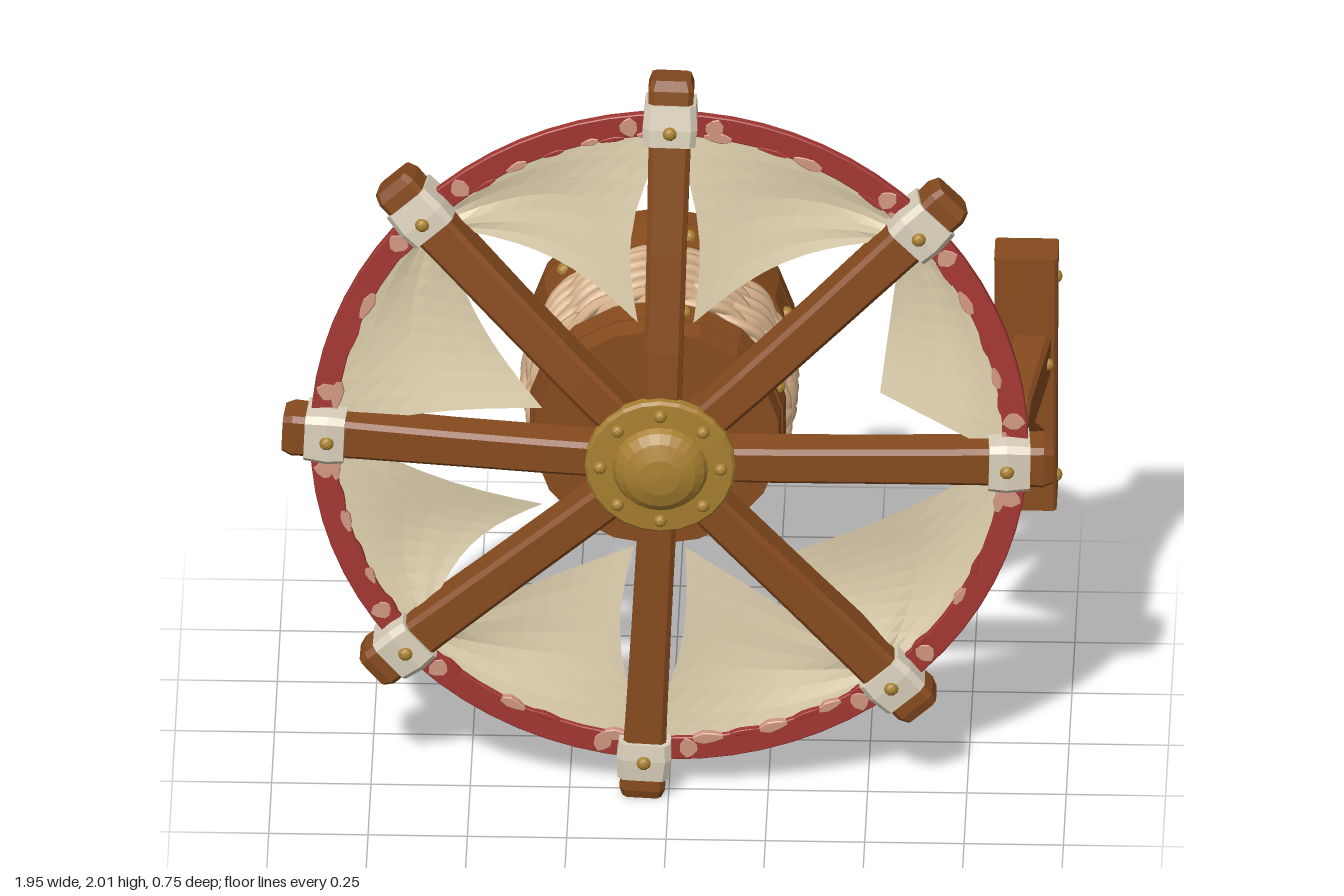
import * as THREE from 'three';

const mat = (name, color, extra = {}) => {
  const m = new THREE.MeshStandardMaterial({ color, flatShading: true, ...extra });
  m.name = name;
  return m;
};
const V = (x, y, z) => new THREE.Vector3(x, y, z);
const HUB = V(-0.02, 0.98, 0.26);

// Depth of the dished wheel rim at a given angle: leans back at the top
const rimZ = (a) => 0.215 - 0.0675 * Math.sin(a) - 0.0275 * Math.sin(a) ** 2;
const rimPoint = (a, r) => V(Math.cos(a) * r, 1 + Math.sin(a) * r, rimZ(a));

// Chamfered rectangular beam lofted through points; sizes are [width, depth] per point
function beam(points, sizes, up, chamfer = 0.12) {
  const rings = points.map((p, i) => {
    const prev = points[Math.max(i - 1, 0)], next = points[Math.min(i + 1, points.length - 1)];
    const d = next.clone().sub(prev).normalize();
    const s = up.clone().cross(d).normalize();
    const n = d.clone().cross(s);
    const [w, h] = sizes[i % sizes.length];
    const c = chamfer * Math.min(w, h), x = w / 2, y = h / 2;
    return [[x, -y + c], [x, y - c], [x - c, y], [-x + c, y], [-x, y - c], [-x, -y + c], [-x + c, -y], [x - c, -y]]
      .map(([a, b]) => p.clone().addScaledVector(s, a).addScaledVector(n, b));
  });
  const out = [];
  const tri = (...vs) => vs.forEach((v) => out.push(v.x, v.y, v.z));
  for (let i = 0; i < rings.length - 1; i++) {
    for (let k = 0; k < 8; k++) {
      const j = (k + 1) % 8, a = rings[i], b = rings[i + 1];
      tri(a[k], a[j], b[j]);
      tri(a[k], b[j], b[k]);
    }
  }
  const first = rings[0], last = rings[rings.length - 1];
  for (let k = 1; k < 7; k++) {
    tri(first[0], first[k + 1], first[k]);
    tri(last[0], last[k], last[k + 1]);
  }
  const g = new THREE.BufferGeometry();
  g.setAttribute('position', new THREE.Float32BufferAttribute(out, 3));
  g.computeVertexNormals();
  return g;
}

export function createModel() {
  const model = new THREE.Group();
  model.name = 'sailWheel';
  const wood = mat('wood', 0x874b1e);
  const cloth = mat('sail cloth', 0xdccdac, { side: THREE.DoubleSide });
  const red = mat('red trim', 0xa23632);
  const pink = mat('worn trim', 0xcf9580);
  const wrapMat = mat('pale binding', 0xdad0bb);
  const gold = mat('brass', 0xa88030);
  const rope = mat('rope', 0xd8b38c, { flatShading: false });
  const ropeDark = mat('rope shadow', 0x9a7350);
  const UP_Z = V(0, 0, 1), UP_Y = V(0, 1, 0), UP_X = V(1, 0, 0);

  const add = (name, geometry, material, parent = model) => {
    const m = new THREE.Mesh(geometry, material);
    m.name = name;
    parent.add(m);
    return m;
  };
  const studGeo = new THREE.IcosahedronGeometry(1, 1);
  const stud = (p, r, parent = model) => {
    const m = add('stud', studGeo, gold, parent);
    m.position.copy(p);
    m.scale.setScalar(r);
  };

  // Spokes with cloth bindings and studs, counter-clockwise from the left side
  const tips = [[0.965, 0.96], [0.712, 1.685], [0.003, 2], [-0.7, 1.708],
    [-0.97, 1.02], [-0.745, 0.35], [-0.067, 0.005], [0.637, 0.26]];
  const tipAngle = (i) => Math.atan2(tips[i][1] - 1, tips[i][0]);
  tips.forEach(([tx, ty], i) => {
    const g = new THREE.Group();
    g.name = 'spoke' + (i + 1);
    model.add(g);
    const dz = (rimZ(tipAngle(i)) - HUB.z) * 1.13;
    const at = (t) => V(HUB.x + (tx - HUB.x) * t, HUB.y + (ty - HUB.y) * t, HUB.z + dz * t ** 1.5);
    const body = [0.03, 0.3, 0.55, 0.8, 0.975, 1].map(at);
    add('spokeBeam', beam(body, [[0.095, 0.1], [0.098, 0.1], [0.1, 0.098], [0.105, 0.1], [0.115, 0.11], [0.098, 0.093]], UP_Z), wood, g);
    add('binding', beam([0.835, 0.88, 0.94].map(at), [[0.13, 0.122], [0.138, 0.132], [0.128, 0.125]], UP_Z), wrapMat, g);
    [0.062, -0.062].forEach((z) => stud(at(0.885).add(V(0, 0, z)), 0.019, g));
  });

  // Red rim band with a ragged, worn inner edge
  const rimArc = (from, to, r, n) => Array.from({ length: n + 1 }, (_, i) => rimPoint(from + (to - from) * i / n, r));
  add('rim', beam(rimArc(0, Math.PI * 2, 0.872, 72), [[0.064, 0.022]], UP_Z), red);
  const patch = (a, len, r, w, material) =>
    add('wornPatch', beam(rimArc(a, a + len, r, 3), [[w * 0.4, 0.027], [w, 0.027], [w * 0.8, 0.027], [w * 0.3, 0.027]], UP_Z), material);
  for (let i = 0; i < 24; i++) {
    const a = i * 0.2618 + 0.08 * Math.sin(i * 5.3), k = Math.abs(Math.sin(i * 2.7));
    patch(a, 0.05 + 0.04 * k, 0.845, 0.02 + 0.014 * k, pink);
    patch(a + 0.11, 0.06 + 0.03 * k, 0.841, 0.014, red);
  }
  tips.forEach((_, i) => [0.1, -0.15].forEach((d) => patch(tipAngle(i) + d, 0.05, 0.87, 0.06, pink)));

  // Triangular sails, two from every upright or level spoke:
  // spoke index, turn direction, loose corner, bulge of the inner edge, bow beside the spoke
  const sails = [
    [0, 1, 0.53, 1.14, 0.0, 0.0], [0, -1, 0.31, 0.67, 0.0, 0.02],
    [2, 1, -0.08, 1.335, 0.045, 0.055], [2, -1, 0.06, 1.335, 0.05, 0.04],
    [4, 1, -0.32, 0.8, 0.05, 0.03], [4, -1, -0.32, 1.08, 0.035, 0.02],
    [6, 1, 0.04, 0.68, 0.01, 0.04], [6, -1, -0.09, 0.68, 0.0, 0.05],
  ];
  sails.forEach(([spoke, side, cx, cy, bulge, bow]) => {
    const a0 = tipAngle(spoke), turn = tipAngle((spoke + side + 8) % 8) - a0;
    const a1 = a0 + Math.atan2(Math.sin(turn), Math.cos(turn));
    const perp = V(-Math.sin(a0), Math.cos(a0), 0).multiplyScalar(side);
    const corner = V(cx, cy, 0.2), end = rimPoint(a1 - side * 0.02, 0.79);
    const sway = end.clone().sub(corner).cross(UP_Z).normalize().multiplyScalar(bulge * -side);
    const N = 10, M = 7, pos = [], idx = [];
    for (let i = 0; i <= N; i++) {
      const u = i / N;
      const outer = rimPoint(a0 + (a1 - a0) * u, 0.85);
      const inner = corner.clone().lerp(end, u).addScaledVector(sway, -Math.sin(Math.PI * u));
      for (let j = 0; j <= M; j++) {
        const v = j / M;
        const p = outer.clone().lerp(inner, v);
        p.addScaledVector(perp, bow * Math.sin(Math.PI * v) * (1 - u) ** 2);
        // Soft sag with folds gathering toward the bindings
        p.z -= 0.025 * Math.sin(Math.PI * u) * Math.sin(Math.PI * v * 0.75);
        p.z += 0.007 * Math.sin(v * 9 + u * 2) * Math.sin(Math.PI * v) * u;
        pos.push(p.x, p.y, p.z);
        if (i < N && j < M) {
          const q = i * (M + 1) + j, r = q + M + 1;
          idx.push(q, r, r + 1, q, r + 1, q + 1);
        }
      }
    }
    const g = new THREE.BufferGeometry();
    g.setAttribute('position', new THREE.Float32BufferAttribute(pos, 3));
    g.setIndex(idx);
    g.computeVertexNormals();
    add('sail', g, cloth);
  });

  // Brass hub cap with a ring of studs
  const profile = [[0.18, -0.01], [0.19, 0], [0.19, 0.022], [0.183, 0.03], [0.12, 0.034], [0.112, 0.05], [0.09, 0.068], [0.05, 0.082], [0, 0.087]]
    .map(([x, y]) => new THREE.Vector2(x, y));
  const cap = add('hubCap', new THREE.LatheGeometry(profile, 24), gold);
  cap.rotation.x = Math.PI / 2;
  cap.position.set(HUB.x, HUB.y, 0.288);
  for (let i = 0; i < 8; i++) {
    const a = i * Math.PI / 4;
    stud(V(HUB.x + 0.152 * Math.cos(a), HUB.y + 0.152 * Math.sin(a), 0.32), 0.017);
  }

  // Drum: discs and core along the wheel axis
  const disc = (name, r0, r1, z0, z1, material = wood, tilt = 0) => {
    const m = add(name, new THREE.CylinderGeometry(r1, r0, z1 - z0, 18), material);
    m.rotation.set(Math.PI / 2, 0, tilt);
    m.position.set(-0.033, 0.995, (z0 + z1) / 2);
  };
  disc('drumBackPlate', 0.336, 0.342, -0.375, -0.305, wood, 0.01);
  disc('drumBackRing', 0.342, 0.33, -0.31, -0.215, wood, -0.02);
  disc('drumCore', 0.312, 0.312, -0.24, 0.1, ropeDark);
  disc('drumFrontRing', 0.327, 0.322, 0.07, 0.135);
  disc('drumFrontPlate', 0.318, 0.312, 0.13, 0.195);
  for (let i = 0; i < 6; i++) {
    const a = (i + 0.3) * Math.PI / 3;
    [[0.33, -0.255], [0.318, 0.1]].forEach(([r, z]) =>
      stud(V(-0.033 + r * Math.cos(a), 0.995 + r * Math.sin(a), z), 0.019));
  }

  // Twisted two-strand rope wound around the drum, with a looser crossing layer
  class Strand extends THREE.Curve {
    constructor(phase, turns, z0, z1, radius, tilt) {
      super();
      Object.assign(this, { phase, turns, z0, z1, radius, tilt });
    }
    getPoint(t, target = new THREE.Vector3()) {
      const a = t * this.turns * Math.PI * 2, tw = a * 9 + this.phase;
      const r = this.radius + 0.01 * Math.cos(tw);
      return target.set(-0.033 + r * Math.cos(a), 0.995 + r * Math.sin(a),
        this.z0 + (this.z1 - this.z0) * t + 0.011 * Math.sin(tw) + this.tilt * Math.cos(a + 0.4));
    }
  }
  const wind = (turns, z0, z1, radius, tilt) => {
    for (let k = 0; k < 2; k++) {
      const curve = new Strand(k * Math.PI, turns, z0, z1, radius, tilt);
      add('ropeStrand', new THREE.TubeGeometry(curve, Math.round(turns * 110), 0.0165, 6), rope);
    }
  };
  wind(6, -0.19, 0.055, 0.312, 0.006);
  wind(3, -0.14, 0.0, 0.325, 0.022);

  // Side bracket: upright board, arm and diagonal brace
  const bracket = new THREE.Group();
  bracket.name = 'bracket';
  model.add(bracket);
  add('bracketBoard', beam([V(0.885, 0.565, -0.265), V(0.885, 0.9, -0.268), V(0.885, 1.285, -0.275)],
    [[0.135, 0.155], [0.125, 0.155], [0.11, 0.16]], UP_X, 0.06), wood, bracket);
  add('bracketArm', beam([V(0.86, 0.98, 0.19), V(0.865, 1.005, 0.08), V(0.9, 1.01, -0.23)],
    [[0.075, 0.075], [0.085, 0.115], [0.1, 0.12]], UP_Y), wood, bracket);
  add('bracketBrace', beam([V(0.862, 0.975, 0.12), V(0.89, 0.73, -0.23)], [[0.075, 0.1], [0.085, 0.11]], UP_Y), wood, bracket);
  [1.21, 0.63].forEach((y) => stud(V(0.957, y, -0.27), 0.019, bracket));
  stud(V(0.942, 1.01, -0.17), 0.016, bracket);
  return model;
}
